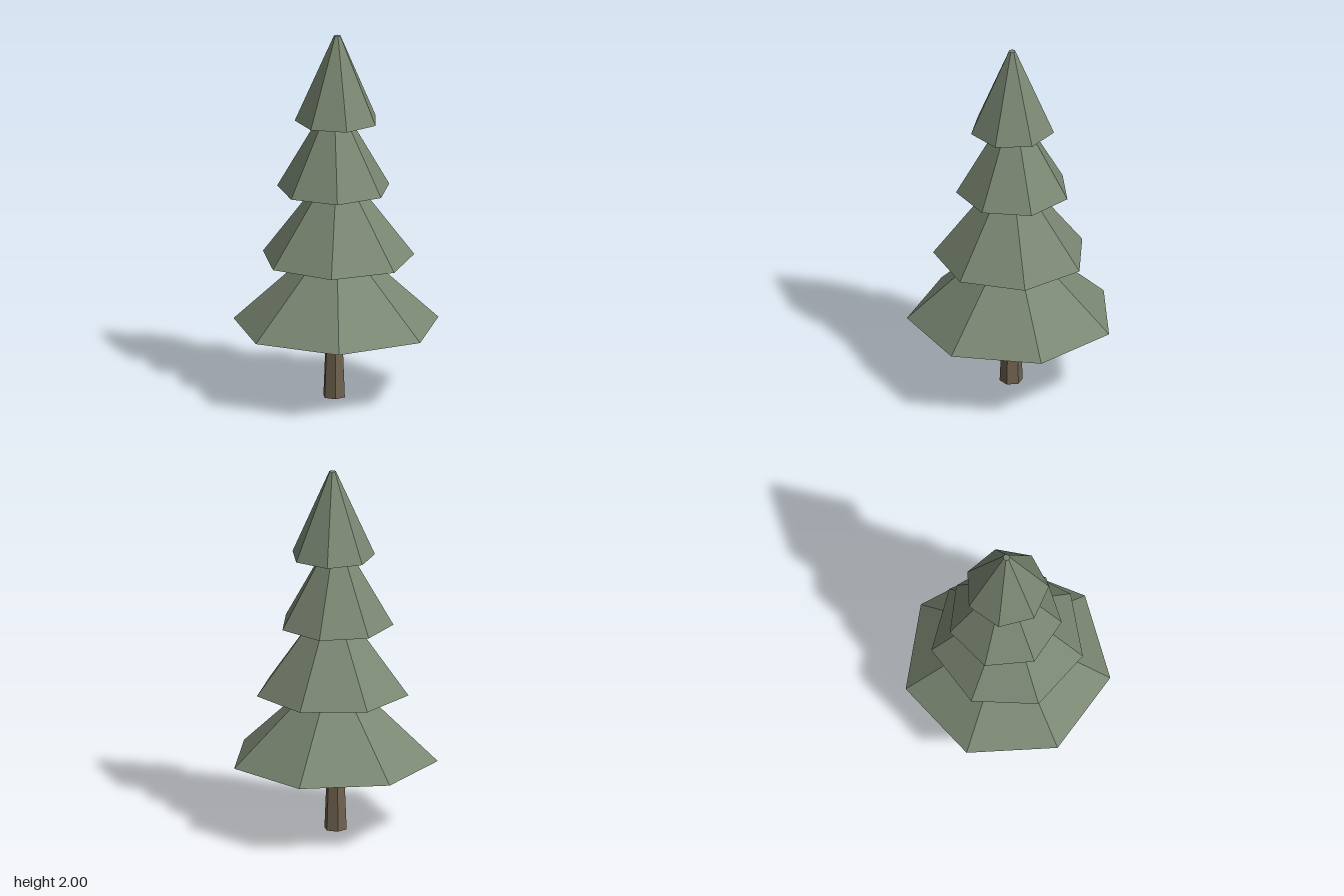
import * as THREE from 'three';

export function createModel() {
  const tree = new THREE.Group();
  tree.name = 'pineTree';

  const foliage = new THREE.MeshStandardMaterial({ color: 0x7a8772, flatShading: true });
  foliage.name = 'mutedGreen';
  const bark = new THREE.MeshStandardMaterial({ color: 0x6f614f, flatShading: true });
  bark.name = 'barkBrown';

  // Tapered prism standing on height y, turned by angle about its own axis
  function frustum(name, material, sides, rBottom, rTop, y, height, x, z, angle) {
    const geometry = new THREE.CylinderGeometry(rTop, rBottom, height, sides, 1, false, angle);
    geometry.translate(x, y + height / 2, z);
    const mesh = new THREE.Mesh(geometry, material);
    mesh.name = name;
    tree.add(mesh);
  }

  // Six-sided trunk, reaching just inside the lowest tier
  frustum('trunk', bark, 6, 0.062, 0.045, 0, 0.41, 0, -0.012, 0);

  // Seven-sided tiers: base radius, top radius, base height, height, x, z, turn
  const tiers = [
    [0.558, 0.118, 0.397, 0.414, 0.005, -0.024, 0.058],
    [0.413, 0.098, 0.771, 0.419, 0.012, -0.024, -0.042],
    [0.306, 0.065, 1.15, 0.419, -0.01, -0.018, 0.095],
    [0.226, 0.018, 1.529, 0.471, 0.006, -0.028, 0.262],
  ];
  tiers.forEach(([rBottom, rTop, y, height, x, z, angle], i) =>
    frustum(`foliageTier${i + 1}`, foliage, 7, rBottom, rTop, y, height, x, z, angle));

  return tree;
}
